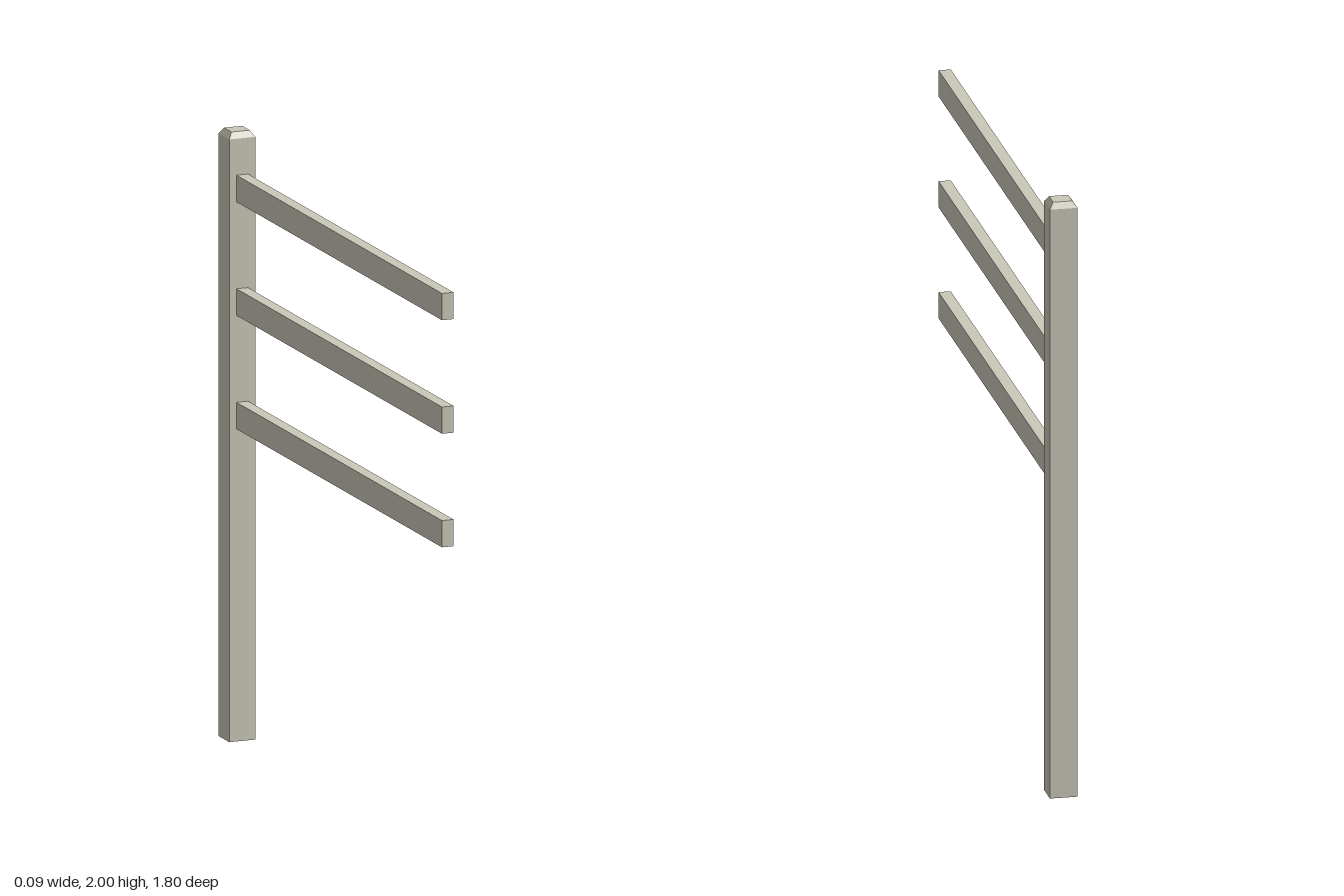
import * as THREE from 'three';

export function createModel() {
  const group = new THREE.Group();
  const paint = new THREE.MeshStandardMaterial({ color: 0xcac8b8 });
  paint.name = 'stone grey paint';

  const POST = 0.09, POST_Z = -0.855, SHOULDER = 1.98, TOP = 2;

  function add(name, geometry, x, y, z) {
    const mesh = new THREE.Mesh(geometry, paint);
    mesh.name = name;
    mesh.position.set(x, y, z);
    group.add(mesh);
  }

  // Square post whose top edges are chamfered: a box with a tapered upper segment
  const post = new THREE.BoxGeometry(POST, TOP, POST, 1, 2, 1);
  const p = post.attributes.position;
  for (let i = 0; i < p.count; i++) {
    if (Math.abs(p.getY(i)) < 0.01) p.setY(i, SHOULDER - TOP / 2);
    else if (p.getY(i) > 0) {
      p.setX(i, p.getX(i) * 0.7);
      p.setZ(i, p.getZ(i) * 0.7);
    }
  }
  // Separate the faces so the chamfer stays crisp
  const crispPost = post.toNonIndexed();
  crispPost.computeVertexNormals();
  add('post', crispPost, 0, TOP / 2, POST_Z);

  // Three evenly spaced rails running forward from the post
  const back = POST_Z + POST / 2, front = 0.9;
  const rail = new THREE.BoxGeometry(0.04, 0.088, front - back);
  ['lowerRail', 'middleRail', 'upperRail'].forEach((name, i) => {
    add(name, rail, 0, 1.07 + i * 0.373, (front + back) / 2);
  });

  return group;
}
